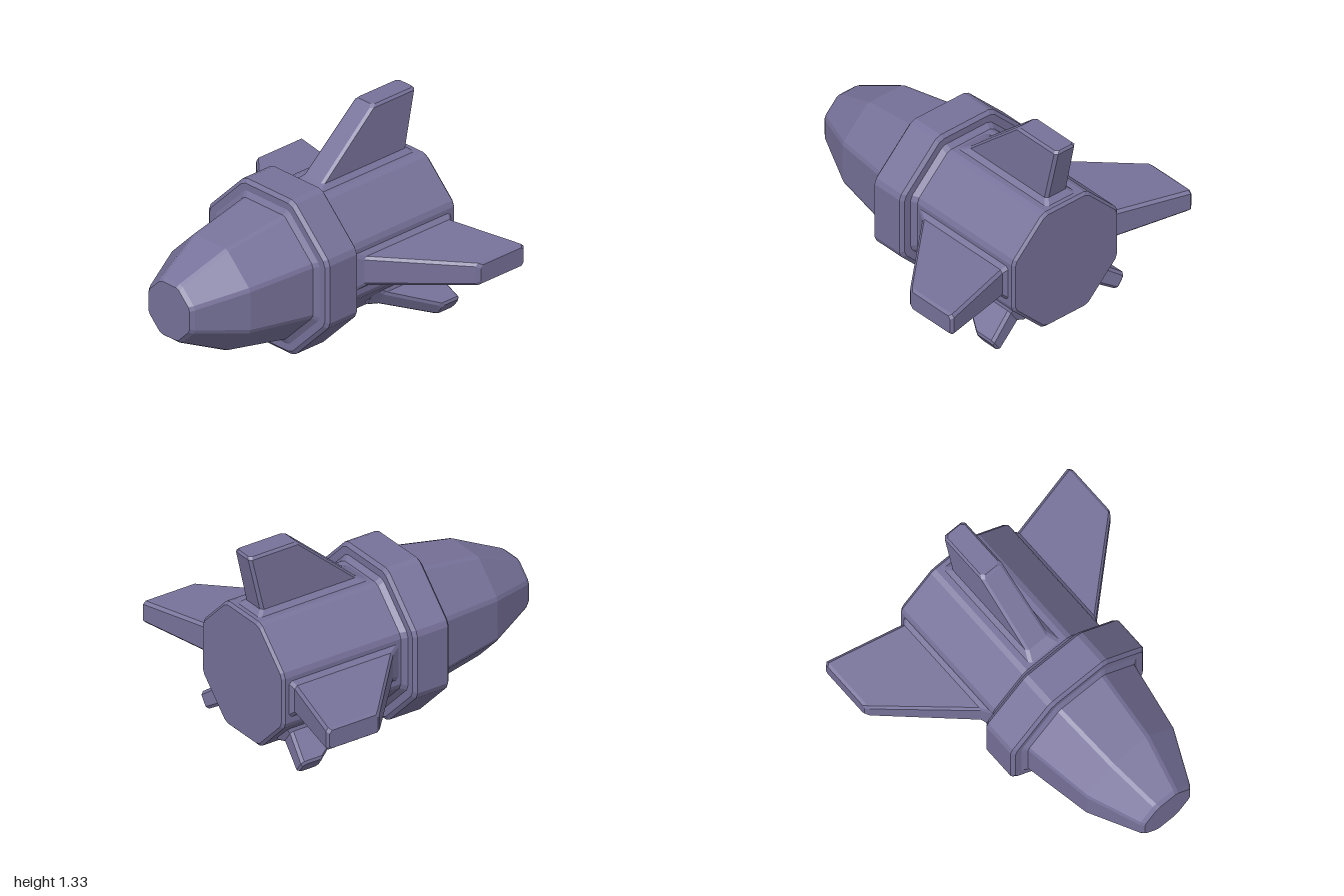
import * as THREE from 'three';

const AXIS_Y = 0.513; // height of the hull's centre line
const material = new THREE.MeshStandardMaterial({ color: 0x77729a, flatShading: true });

// Skins a list of equal-length rings (counter-clockwise seen from the last ring) and caps both ends
function loft(rings) {
  const pos = [];
  const tri = (a, b, c) => pos.push(...a, ...b, ...c);
  const n = rings[0].length;
  for (let i = 0; i < rings.length - 1; i++) {
    for (let j = 0; j < n; j++) {
      const k = (j + 1) % n;
      const [a, b, c, d] = [rings[i][j], rings[i][k], rings[i + 1][k], rings[i + 1][j]];
      tri(a, b, c);
      tri(a, c, d);
    }
  }
  const first = rings[0], last = rings[rings.length - 1];
  for (let j = 1; j < n - 1; j++) {
    tri(first[0], first[j + 1], first[j]);
    tri(last[0], last[j], last[j + 1]);
  }
  const geometry = new THREE.BufferGeometry();
  geometry.setAttribute('position', new THREE.Float32BufferAttribute(pos, 3));
  geometry.computeVertexNormals();
  return geometry;
}

// Octagon with flat top and slightly cut corners; r is centre to flat side
function octagon(z, r, cut) {
  const ring = [];
  const half = r * Math.tan(Math.PI / 8) - cut;
  for (let k = 0; k < 8; k++) {
    const a = (k * Math.PI) / 4, c = Math.cos(a), s = Math.sin(a);
    for (const t of [-half, half]) ring.push([r * c - t * s, r * s + t * c, z]);
  }
  return ring;
}

// Bevelled rectangle at distance d along a fin, from zBack to zFront
function finSection([d, zBack, zFront, half], cut) {
  return [
    [zFront, -half + cut], [zFront, half - cut], [zFront - cut, half], [zBack + cut, half],
    [zBack, half - cut], [zBack, -half + cut], [zBack + cut, -half], [zFront - cut, -half],
  ].map(([z, x]) => [x, d, z]);
}

function hullPart(name, profile, cut) {
  const mesh = new THREE.Mesh(loft(profile.map(([z, r]) => octagon(z, r, cut))), material);
  mesh.name = name;
  mesh.position.y = AXIS_Y;
  return mesh;
}

function fin(name, sections, x, y, angle) {
  const mesh = new THREE.Mesh(loft(sections.map((s) => finSection(s, 0.018))), material);
  mesh.name = name;
  mesh.position.set(x, y, 0);
  mesh.rotation.z = angle;
  return mesh;
}

export function createModel() {
  const model = new THREE.Group();
  model.name = 'rocketShip';

  // Hull: rear body, collar and tapered nose, each as [z, radius]
  model.add(
    hullPart('rearBody', [
      [-0.945, 0.4], [-0.928, 0.417], [-0.095, 0.417], [-0.06, 0.445], [0, 0.445],
    ], 0.02),
    hullPart('collar', [
      [-0.062, 0.49], [-0.042, 0.513], [0.178, 0.513], [0.198, 0.49],
    ], 0.022),
    hullPart('nose', [
      [0.1, 0.445], [0.198, 0.445], [0.22, 0.412], [0.66, 0.337], [0.975, 0.195], [1, 0.175],
    ], 0.015),
  );

  // Fins: sections are [distance, zBack, zFront, half thickness]
  const topFin = [
    [0.39, -0.9, -0.11, 0.12], [0.417, -0.9, -0.11, 0.115], [0.445, -0.865, -0.175, 0.085],
    [0.8, -0.945, -0.58, 0.08], [0.816, -0.935, -0.6, 0.066],
  ];
  const wing = [
    [0.39, -0.9, -0.1, 0.122], [0.417, -0.9, -0.11, 0.12], [0.445, -0.88, -0.17, 0.095],
    [0.932, -1, -0.61, 0.073], [0.95, -0.985, -0.635, 0.06],
  ];
  const lowerFin = [
    [-0.04, -0.87, -0.36, 0.088], [0.005, -0.865, -0.37, 0.086], [0.035, -0.845, -0.42, 0.062],
    [0.235, -0.88, -0.715, 0.055], [0.25, -0.87, -0.735, 0.042],
  ];
  model.add(fin('topFin', topFin, 0, AXIS_Y, 0));
  for (const [side, s] of [['left', 1], ['right', -1]]) {
    model.add(
      fin(side + 'Wing', wing, 0, AXIS_Y + 0.005, (-s * Math.PI) / 2),
      fin(side + 'LowerFin', lowerFin, s * 0.293, 0.222, -s * THREE.MathUtils.degToRad(125)),
    );
  }
  return model;
}
